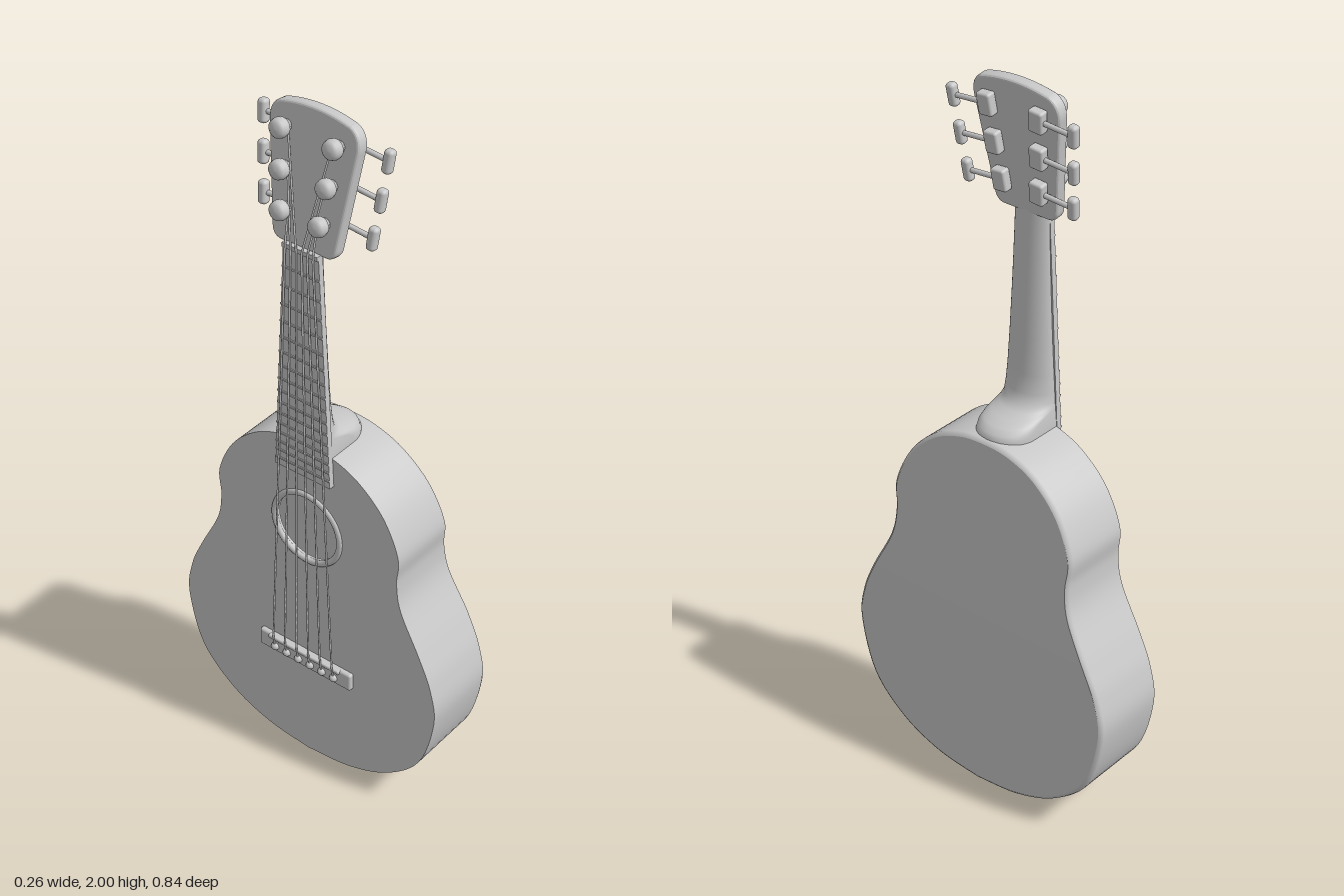
import * as THREE from 'three';
import { RoundedBoxGeometry } from 'three/addons/geometries/RoundedBoxGeometry.js';

const grey = new THREE.MeshStandardMaterial({ color: 0xc8c8c8, side: THREE.DoubleSide });
grey.name = 'plain grey';

function add(parent, name, geometry, x = 0, y = 0, z = 0) {
  const mesh = new THREE.Mesh(geometry, grey);
  mesh.name = name;
  mesh.position.set(x, y, z);
  parent.add(mesh);
  return mesh;
}

// Skin over rows of [x, y, z] points
function loft(rows, closed) {
  const n = rows[0].length, index = [];
  for (let r = 0; r < rows.length - 1; r++) {
    for (let i = 0; i < (closed ? n : n - 1); i++) {
      const j = (i + 1) % n, a = r * n + i, b = r * n + j, c = a + n, d = b + n;
      index.push(a, c, b, b, c, d);
    }
  }
  const g = new THREE.BufferGeometry();
  g.setAttribute('position', new THREE.Float32BufferAttribute(rows.flat(2), 3));
  g.setIndex(index);
  g.computeVertexNormals();
  return g;
}

const v2 = ([x, y]) => new THREE.Vector2(x, y);
const FRONT = 0.09;
const backZ = (y) => -0.132 + 0.038 * Math.max(0, (y - 0.56) / 0.5);

function buildBody(g) {
  // Half outline from the bottom centre up to the top centre, then mirrored
  const half = [[0, 0.003], [0.14, 0.02], [0.27, 0.075], [0.375, 0.18], [0.42, 0.345], [0.405, 0.455],
    [0.365, 0.55], [0.305, 0.67], [0.29, 0.755], [0.293, 0.84], [0.245, 0.945], [0.165, 1.02], [0.08, 1.055], [0, 1.063]];
  const left = half.slice(1, -1).reverse().map(([x, y]) => [-x, y]);
  const curve = new THREE.SplineCurve([...half, ...left, half[0]].map(v2));
  const steps = 6, count = (half.length - 1) * steps;
  const right = [];
  for (let i = 0; i <= count; i++) {
    const p = curve.getPoint(i / (count * 2));
    right.push([i === 0 || i === count ? 0 : p.x, p.y]);
  }
  const loop = [...right, ...right.slice(1, -1).reverse().map(([x, y]) => [-x, y])];
  const inset = ([x, y], d) => [x * (1 - d / 0.42), 0.55 + (y - 0.55) * (1 - d / 0.55)];

  // Sides with a softened back edge
  const ring = (d, z) => loop.map((p) => [...inset(p, d), z(p[1])]);
  add(g, 'bodySides', loft([
    ring(0, () => FRONT),
    ring(0, (y) => backZ(y) + 0.012),
    ring(0.003, (y) => backZ(y) + 0.004),
    ring(0.01, backZ),
  ], true));

  // Back panel, bent along its height
  add(g, 'backPanel', loft(right.map((p) => {
    const [x, y] = inset(p, 0.01);
    return [[-x, y, backZ(p[1])], [x, y, backZ(p[1])]];
  }), false));

  // Front panel with the sound hole
  const shape = new THREE.Shape(loop.map(v2));
  shape.holes.push(new THREE.Path().absarc(0, 0.79, 0.1, 0, Math.PI * 2, true));
  add(g, 'frontPanel', new THREE.ShapeGeometry(shape, 48), 0, 0, FRONT);
  const wall = new THREE.CylinderGeometry(0.1, 0.1, 0.012, 48, 1, true).rotateX(Math.PI / 2);
  add(g, 'soundHoleWall', wall, 0, 0.79, FRONT - 0.006);
  add(g, 'soundHoleRing', new THREE.TorusGeometry(0.107, 0.009, 10, 48), 0, 0.79, FRONT).scale.z = 0.8;
}

function buildNeck(g) {
  // Rows: height, half width, depth of the back surface
  const rows = [[1.66, 0.054, 0.064], [1.6, 0.055, 0.062], [1.45, 0.06, 0.056], [1.3, 0.067, 0.049], [1.2, 0.073, 0.044],
    [1.15, 0.076, 0.036], [1.125, 0.077, 0.024], [1.11, 0.078, 0.005], [1.1, 0.079, -0.025], [1.09, 0.08, -0.055],
    [1.078, 0.081, -0.074], [1.062, 0.082, -0.082], [1.03, 0.082, -0.084]];
  add(g, 'neck', loft(rows.map(([y, w, back]) => {
    const d = Math.min(w, 0.096 - back), section = [[w, y, 0.096]];
    for (let i = 0; i <= 20; i++) {
      const t = (i / 20) * Math.PI;
      section.push([w * Math.cos(t), y, back + d - d * Math.sin(t)]);
    }
    section.push([-w, y, 0.096]);
    return section;
  }), false));

  // Fingerboard, frets and nut
  const board = new THREE.Shape([[-0.088, 0.97], [0.088, 0.97], [0.054, 1.64], [-0.054, 1.64]].map(v2));
  add(g, 'fingerboard', new THREE.ExtrudeGeometry(board, { depth: 0.016, bevelEnabled: false }), 0, 0, 0.09);
  for (let i = 1; i <= 16; i++) {
    const y = 1.64 - 1.29 * (1 - Math.pow(2, -i / 12)) * 0.83;
    const w = 0.054 + (0.034 * (1.64 - y)) / 0.67;
    if (y > 0.98) add(g, 'fret', new THREE.BoxGeometry(w * 2, 0.005, 0.004), 0, y, 0.107);
  }
  add(g, 'nut', new THREE.BoxGeometry(0.108, 0.012, 0.022), 0, 1.642, 0.1);
}

const TILT = 0.14;
const PEGS = [[0.058, 0.085], [0.069, 0.186], [0.078, 0.288]];

function buildHeadstock(g) {
  const head = new THREE.Group();
  head.name = 'headstock';
  head.position.set(0, 1.64, 0.082);
  head.rotation.x = -TILT;
  g.add(head);

  // Flared plate with rounded edges
  const s = new THREE.Shape();
  s.moveTo(-0.07, 0.008);
  s.lineTo(0.07, 0.008);
  s.quadraticCurveTo(0.088, 0.01, 0.091, 0.03);
  s.lineTo(0.125, 0.29);
  s.quadraticCurveTo(0.129, 0.33, 0.1, 0.343);
  s.quadraticCurveTo(0, 0.369, -0.1, 0.343);
  s.quadraticCurveTo(-0.129, 0.33, -0.125, 0.29);
  s.lineTo(-0.091, 0.03);
  s.quadraticCurveTo(-0.088, 0.01, -0.07, 0.008);
  add(head, 'headPlate', new THREE.ExtrudeGeometry(s, {
    depth: 0.018, bevelThickness: 0.008, bevelSize: 0.007, bevelSegments: 3, curveSegments: 14,
  }), 0, 0, -0.009);

  // Tuners: post on the front, gear box, shaft and knob on the back
  const post = new THREE.LatheGeometry([[0, 0], [0.015, 0], [0.015, 0.012], [0.024, 0.018], [0.026, 0.028],
    [0.023, 0.04], [0.014, 0.046], [0, 0.047]].map(v2), 20).rotateX(Math.PI / 2);
  const shaft = new THREE.CylinderGeometry(0.007, 0.007, 0.1, 10).rotateZ(Math.PI / 2);
  for (const side of [-1, 1]) {
    for (const [x, y] of PEGS) {
      add(head, 'tuningPost', post, side * x, y + 0.005, 0.015);
      const tuner = new THREE.Group();
      tuner.name = 'tuner';
      tuner.position.set(side * x, y, -0.03);
      tuner.rotation.z = -side * 0.08;
      head.add(tuner);
      add(tuner, 'gearBox', new RoundedBoxGeometry(0.042, 0.06, 0.028, 3, 0.007));
      add(tuner, 'tunerShaft', shaft, side * 0.055, 0, 0);
      add(tuner, 'tunerKnob', new RoundedBoxGeometry(0.026, 0.062, 0.026, 3, 0.01), side * 0.107, 0, 0);
    }
  }
}

function buildBridgeAndStrings(g) {
  add(g, 'bridge', new RoundedBoxGeometry(0.31, 0.055, 0.018, 3, 0.007), 0, 0.342, 0.096);
  add(g, 'saddle', new RoundedBoxGeometry(0.24, 0.012, 0.016, 2, 0.004), 0, 0.364, 0.104);
  const pin = new THREE.SphereGeometry(0.012, 14, 10);
  for (let i = 0; i < 6; i++) {
    const k = (i - 2.5) / 2.5, side = Math.sign(k);
    add(g, 'bridgePin', pin, k * 0.1, 0.335, 0.105);
    // Outer strings reach the lowest posts, inner ones the highest
    const [px, py] = PEGS[Math.round(2.5 - Math.abs(k) * 2.5)];
    const path = new THREE.CurvePath();
    const pts = [[k * 0.1, 0.335, 0.106], [k * 0.1, 0.366, 0.113], [k * 0.042, 1.643, 0.113],
      [side * (px - 0.014), 1.64 + py, 0.082 - TILT * py + 0.028]].map((p) => new THREE.Vector3(...p));
    for (let j = 0; j < 3; j++) path.add(new THREE.LineCurve3(pts[j], pts[j + 1]));
    add(g, 'string', new THREE.TubeGeometry(path, 60, 0.0028, 6));
  }
}

export function createModel() {
  const guitar = new THREE.Group();
  guitar.name = 'guitar';
  buildBody(guitar);
  buildNeck(guitar);
  buildHeadstock(guitar);
  buildBridgeAndStrings(guitar);
  // The soundboard looks toward -x
  guitar.rotation.y = -Math.PI / 2;
  const model = new THREE.Group();
  model.add(guitar);
  return model;
}
